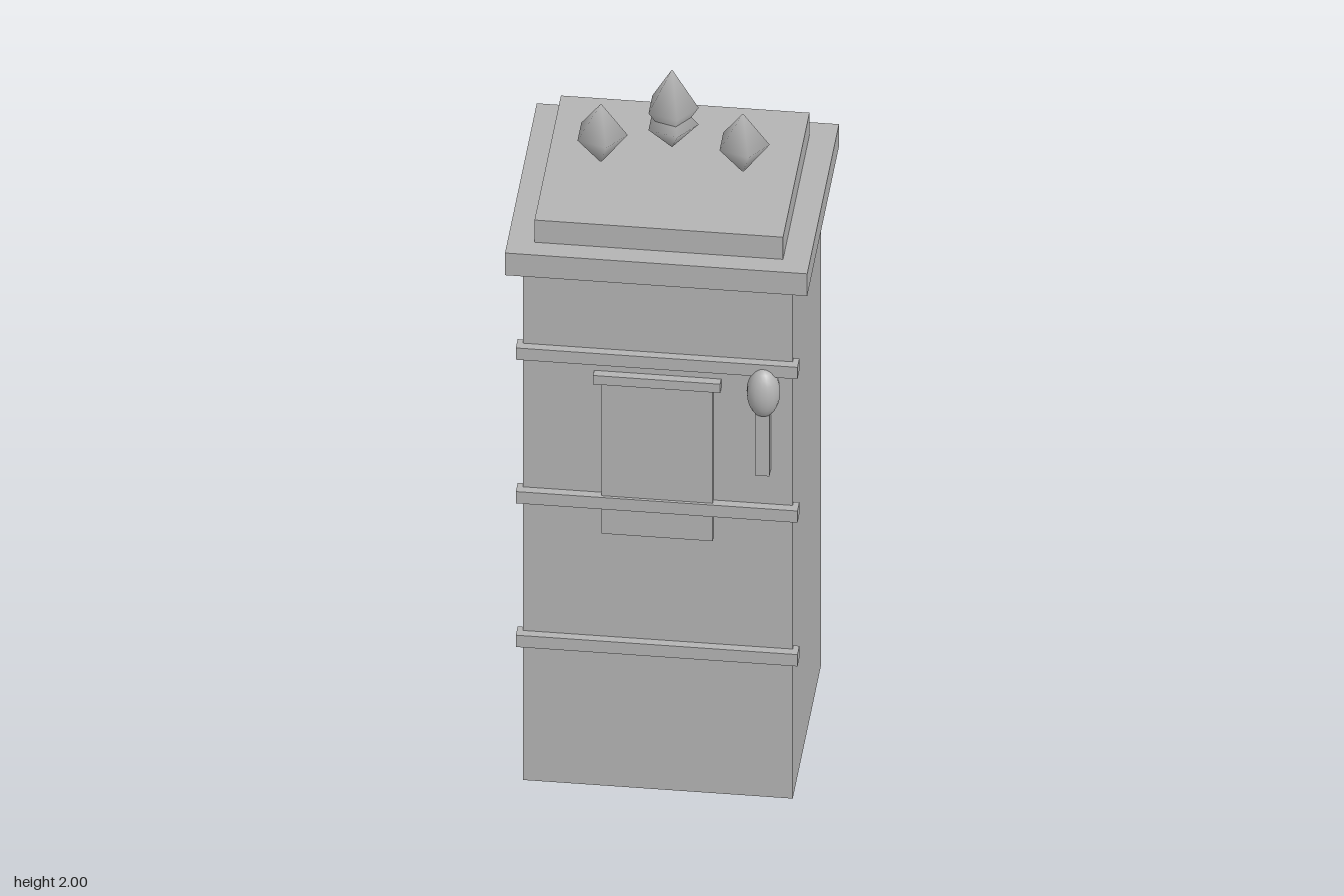
import * as THREE from 'three';

const grey = new THREE.MeshStandardMaterial({ color: 0xb3b3b3 });
grey.name = 'plain grey';

const CZ = -0.0145; // depth centre of the cabinet

function add(group, name, geometry) {
  const mesh = new THREE.Mesh(geometry, grey);
  mesh.name = name;
  group.add(mesh);
  return mesh;
}

// Box given by its lower and upper limits
function box(group, name, [x0, x1], [y0, y1], [z0, z1]) {
  const mesh = add(group, name, new THREE.BoxGeometry(x1 - x0, y1 - y0, z1 - z0));
  mesh.position.set((x0 + x1) / 2, (y0 + y1) / 2, (z0 + z1) / 2);
}

// Five-sided, smooth-shaded double cone with a corner towards +x
function finial(group, name, x, y, halfHeight) {
  const geometry = new THREE.SphereGeometry(1, 5, 2).rotateY(Math.PI).scale(0.0676, halfHeight, 0.0676);
  add(group, name, geometry).position.set(x, y, CZ);
}

export function createModel() {
  const model = new THREE.Group();
  model.name = 'cabinet';

  // Body and stepped top
  box(model, 'body', [-0.342, 0.342], [0, 1.567], [-0.311, 0.283]);
  box(model, 'cornice', [-0.383, 0.383], [1.567, 1.635], [-0.347, 0.318]);
  box(model, 'topSlab', [-0.315, 0.315], [1.635, 1.703], [-0.291, 0.262]);

  // Horizontal bands across the front
  for (const y of [0.44, 0.88, 1.32]) {
    box(model, 'band', [-0.357, 0.357], [y - 0.018, y + 0.018], [0.267, 0.306]);
  }

  // Front panel with its lip
  box(model, 'panel', [-0.141, 0.141], [0.782, 1.245], [0.27, 0.298]);
  box(model, 'panelLip', [-0.161, 0.161], [1.243, 1.27], [0.27, 0.306]);

  // Handle with an egg-shaped knob
  box(model, 'handle', [0.25, 0.287], [1.005, 1.24], [0.275, 0.316]);
  const knob = new THREE.SphereGeometry(1, 16, 12).scale(0.0425, 0.072, 0.0425);
  add(model, 'knob', knob).position.set(0.27, 1.253, 0.3005);

  // Finials on top, the middle one doubled
  for (const x of [-0.18, 0.18]) finial(model, 'sideFinial', x, 1.79, 0.09);
  finial(model, 'middleFinialLower', 0, 1.837, 0.075);
  finial(model, 'middleFinialUpper', 0, 1.888, 0.112);

  return model;
}
